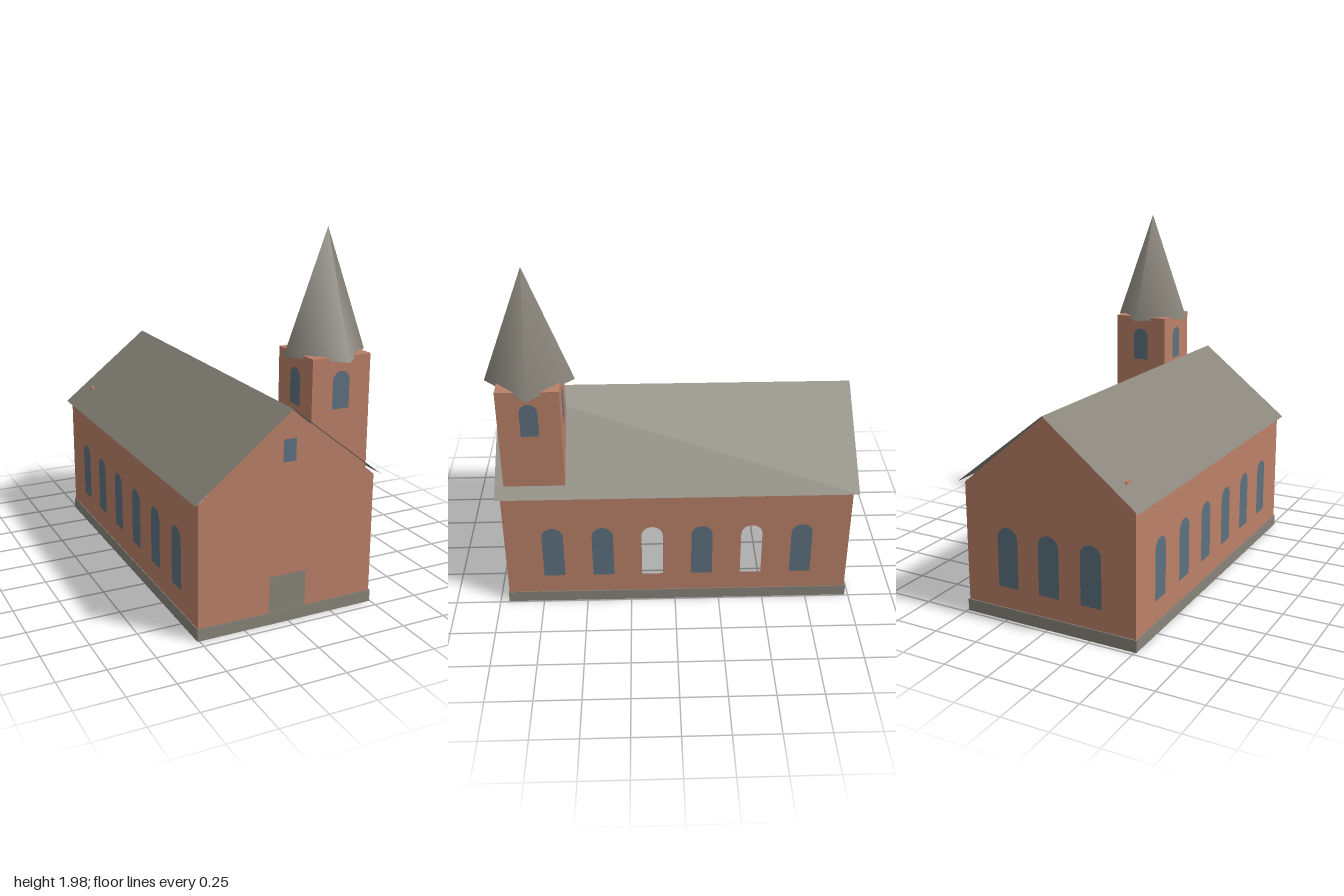
import * as THREE from 'three';

const mat = (name, color, side = THREE.DoubleSide) => {
  const m = new THREE.MeshStandardMaterial({ color, side });
  m.name = name;
  return m;
};

// Round-headed opening centred on u, from y0 to y1
function arch(u, y0, y1, w) {
  const r = w / 2;
  const s = new THREE.Shape();
  s.moveTo(u - r, y0);
  s.lineTo(u + r, y0);
  s.lineTo(u + r, y1 - r);
  s.absarc(u, y1 - r, r, 0, Math.PI, false);
  s.closePath();
  return s;
}

const poly = (pts) => new THREE.Shape(pts.map(([x, y]) => new THREE.Vector2(x, y)));
const rect = (x0, y0, x1, y1) => poly([[x0, y0], [x1, y0], [x1, y1], [x0, y1]]);

export function createModel() {
  const brick = mat('brick', 0xbb8068);
  const stone = mat('grey stone and slate', 0x88847a);
  const glass = mat('blue glass', 0x5d7180);
  const group = new THREE.Group();

  const add = (parent, name, geometry, material) => {
    const mesh = new THREE.Mesh(geometry, material);
    mesh.name = name;
    parent.add(mesh);
    return mesh;
  };

  // Thin wall with openings; each opening is { shape, fill } and fill may be null
  function wall(name, outline, openings, x, z, turn) {
    const g = new THREE.Group();
    g.name = name;
    openings.forEach((o) => outline.holes.push(o.shape));
    add(g, name + 'Brickwork', new THREE.ShapeGeometry(outline, 8), brick);
    openings.forEach((o) => {
      if (o.fill) add(g, o.fill === stone ? 'door' : 'windowPane', new THREE.ShapeGeometry(o.shape, 8), o.fill);
    });
    g.position.set(x, 0, z);
    g.rotation.y = turn;
    group.add(g);
  }

  // Nave extents
  const cx = -0.008, hw = 0.497, zf = 0.945, zb = -0.972, eave = 0.72, ridge = 1.134;
  const gable = () => poly([[-hw, 0], [hw, 0], [hw, eave], [0, ridge], [-hw, eave]]);

  // Gable walls
  wall('frontWall', gable(), [
    { shape: rect(-0.102, 0.03, 0.106, 0.26), fill: stone },
    { shape: rect(-0.036, 0.862, 0.036, 0.98), fill: glass },
  ], cx, zf, 0);
  wall('backWall', gable(), [-0.245, 0, 0.245].map((u) => (
    { shape: arch(u, 0.18, 0.51, 0.12), fill: glass })), cx, zb, Math.PI);

  // Long walls; two openings on one side are unglazed
  const windowZ = [0.68, 0.403, 0.127, -0.15, -0.427, -0.707];
  for (const s of [1, -1]) {
    wall(s > 0 ? 'leftWall' : 'rightWall',
      s > 0 ? rect(-zf, 0, -zb, eave) : rect(zb, 0, zf, eave),
      windowZ.map((z, i) => ({
        shape: arch(-s * z, 0.18, 0.51, 0.118),
        fill: s > 0 && (i === 2 || i === 4) ? null : glass,
      })), cx + s * hw, 0, s * Math.PI / 2);
  }

  // Plinth band around the foot of the walls
  const ring = rect(cx - 0.503, -0.95, cx + 0.503, 0.98);
  ring.holes.push(rect(cx - 0.499, -0.947, cx + 0.499, 0.974));
  const band = new THREE.ExtrudeGeometry(ring, { depth: 0.066, bevelEnabled: false });
  band.rotateX(-Math.PI / 2);
  add(group, 'plinth', band, stone);

  // Door foot, level with the plinth face
  const foot = add(group, 'doorFoot', new THREE.PlaneGeometry(0.208, 0.066), stone);
  foot.position.set(-0.006, 0.033, 0.951);

  // Roof: one thin sheet per slope
  const run = 0.523, top = 1.137, low = 0.725;
  for (const s of [1, -1]) {
    const slope = new THREE.PlaneGeometry(Math.hypot(run, top - low), 1.972);
    slope.rotateX(-Math.PI / 2);
    const m = add(group, s > 0 ? 'leftRoofSlope' : 'rightRoofSlope', slope, stone);
    m.position.set(cx + s * run / 2, (top + low) / 2, -0.014);
    m.rotation.z = -s * Math.atan2(top - low, run);
  }

  // Chimney just breaking through the roof
  const chimney = add(group, 'chimney', new THREE.BoxGeometry(0.05, 0.08, 0.05), brick);
  chimney.position.set(-0.387, 0.792, -0.863);

  // Tower: four walls down to the ground, open below
  const tx = 0.286, tz = 0.758, th = 0.166, tTop = 1.357;
  ['Front', 'Left', 'Back', 'Right'].forEach((side, i) => {
    const a = i * Math.PI / 2;
    wall('tower' + side, rect(-th, 0, th, tTop),
      [{ shape: arch(0, 1.09, 1.283, 0.096), fill: glass }],
      tx + Math.sin(a) * th, tz + Math.cos(a) * th, a);
  });
  const cap = add(group, 'towerTop', new THREE.PlaneGeometry(2 * th, 2 * th), brick);
  cap.rotation.x = -Math.PI / 2;
  cap.position.set(tx, tTop, tz);

  // Four-cornered spire, softly shaded, corners over the tower sides
  const spire = add(group, 'spire', new THREE.ConeGeometry(0.238, 0.635, 4), stone);
  spire.position.set(tx, 1.34 + 0.3175, tz);

  return group;
}
